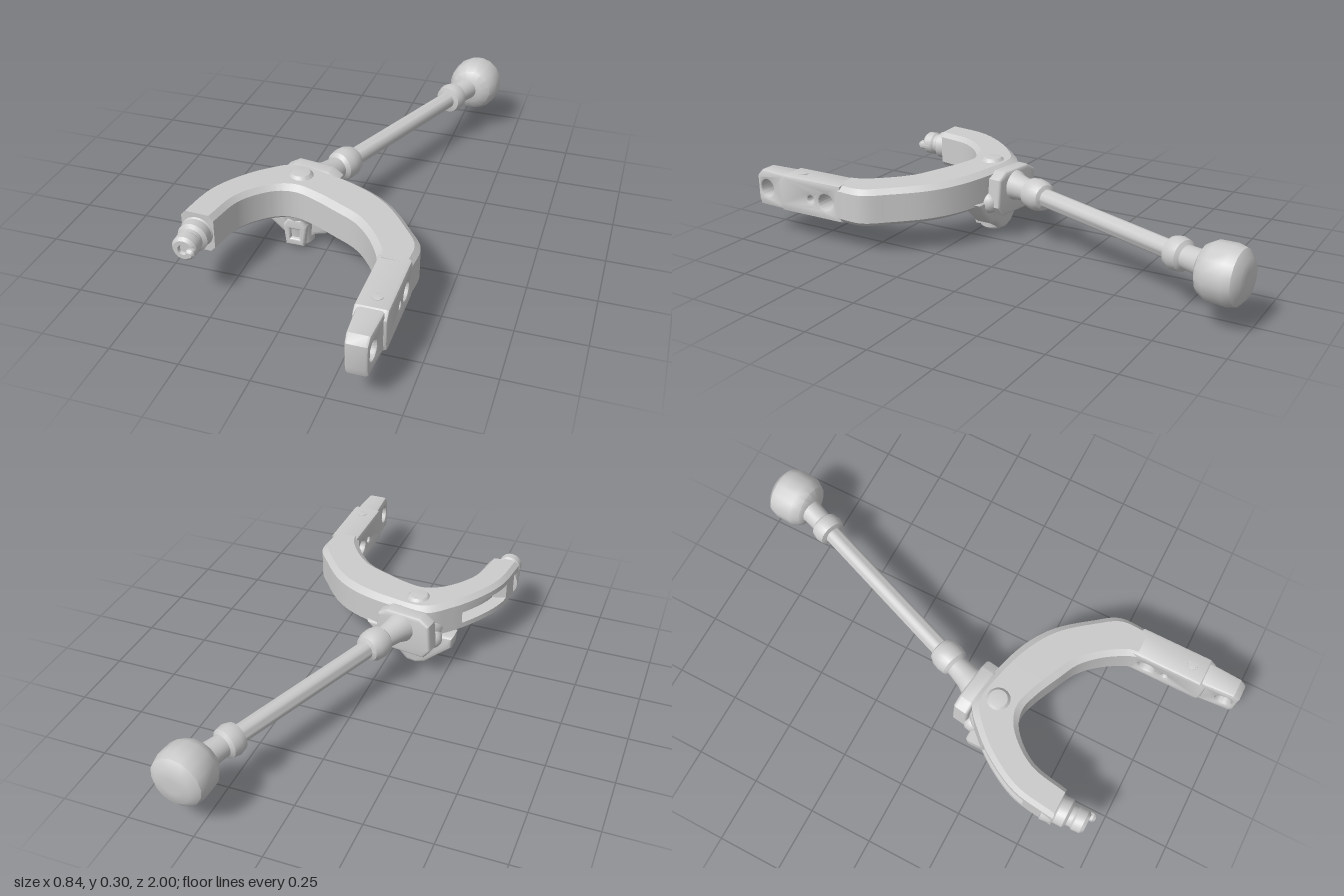
import * as THREE from 'three';
import { toCreasedNormals } from 'three/addons/utils/BufferGeometryUtils.js';

const material = new THREE.MeshStandardMaterial({ color: 0xcccccc });
const V = (x, y, z) => new THREE.Vector3(x, y, z);

function add(parent, name, geometry) {
  const flat = geometry.index ? geometry.toNonIndexed() : geometry;
  const mesh = new THREE.Mesh(toCreasedNormals(flat, 0.6), material);
  mesh.name = name;
  parent.add(mesh);
  return mesh;
}

// Turned part: profile of [radius, distance] pairs along an axis
function turned(parent, name, profile, origin, axis, sides = 24) {
  const points = profile.map(([r, s]) => new THREE.Vector2(r, s));
  const mesh = add(parent, name, new THREE.LatheGeometry(points, sides));
  mesh.position.copy(origin);
  mesh.quaternion.setFromUnitVectors(V(0, 1, 0), axis.clone().normalize());
  return mesh;
}

// Curved fork body: rounded box section swept between an outer and an inner curve
function forkGeometry() {
  const curve = pts => new THREE.CatmullRomCurve3(pts.map(([x, z]) => V(x, 0, z)), false, 'centripetal');
  const outer = curve([[-0.415, 0.58], [-0.39, 0.42], [-0.33, 0.3], [-0.25, 0.2], [-0.16, 0.13],
    [0, 0.15], [0.15, 0.2], [0.25, 0.265], [0.35, 0.38], [0.41, 0.47], [0.41, 0.59]]);
  const inner = curve([[-0.295, 0.58], [-0.265, 0.44], [-0.21, 0.36], [-0.15, 0.315], [-0.09, 0.305],
    [-0.02, 0.325], [0.07, 0.365], [0.16, 0.41], [0.23, 0.48], [0.28, 0.56], [0.292, 0.59]]);
  const steps = 80, half = 0.073, pos = [], index = [];
  for (let i = 0; i <= steps; i++) {
    const a = outer.getPoint(i / steps), b = inner.getPoint(i / steps);
    // Long pocket in the outer face of the short arm
    const pocket = a.x < -0.2 && a.z > 0.24 && a.z < 0.44 ? 0.4 : 0;
    const section = [[0, -0.75], [0, -0.45], [pocket, -0.4], [pocket, 0.4], [0, 0.45], [0, 0.75],
      [0.14, 1], [0.86, 1], [1, 0.75], [1, -0.75], [0.86, -1], [0.14, -1]];
    for (const [u, v] of section) {
      const p = a.clone().lerp(b, u);
      pos.push(p.x, 0.209 - 0.045 * p.x + half * v, p.z);
    }
  }
  const n = 12;
  for (let i = 0; i < steps; i++) for (let j = 0; j < n; j++) {
    const a = i * n + j, b = i * n + (j + 1) % n;
    index.push(a, b, a + n, b, b + n, a + n);
  }
  for (let j = 1; j < n - 1; j++) {
    index.push(0, j + 1, j, steps * n, steps * n + j, steps * n + j + 1);
  }
  const g = new THREE.BufferGeometry();
  g.setAttribute('position', new THREE.Float32BufferAttribute(pos, 3));
  g.setIndex(index);
  return g;
}

// Straight bar along z with cross holes of [z, y, radiusZ, radiusY]
function holedBar(z0, z1, x0, x1, y0, y1, holes, taper = 0) {
  const shape = new THREE.Shape(), c = 0.018, b = 0.012;
  shape.moveTo(z0, y0 + b).lineTo(z1 - c, y0 + b);
  shape.lineTo(z1 - b, y0 + b + c).lineTo(z1 - b, y1 - b - c);
  shape.lineTo(z1 - c - b, y1 - b).lineTo(z0, y1 - b);
  for (const [z, y, rz, ry] of holes) {
    shape.holes.push(new THREE.Path().absellipse(z, y, rz + b, ry + b, 0, Math.PI * 2, true));
  }
  const g = new THREE.ExtrudeGeometry(shape, {
    depth: x1 - x0 - 2 * b, bevelEnabled: true, bevelThickness: b, bevelSize: b, bevelSegments: 2, curveSegments: 20,
  });
  g.rotateY(-Math.PI / 2).translate(x1 - b, 0, 0);
  const p = g.attributes.position, mid = (x0 + x1) / 2;
  for (let i = 0; i < p.count; i++) {
    const t = Math.max(0, (p.getZ(i) - z0) / (z1 - z0));
    p.setX(i, mid + (p.getX(i) - mid) * (1 - taper * t));
  }
  return g;
}

function prism(points, depth, bevel, holes = []) {
  const shape = new THREE.Shape(points.map(([x, y]) => new THREE.Vector2(x, y)));
  for (const h of holes) shape.holes.push(new THREE.Path(h.map(([x, y]) => new THREE.Vector2(x, y))));
  return new THREE.ExtrudeGeometry(shape, {
    depth, bevelEnabled: true, bevelThickness: bevel, bevelSize: bevel, bevelOffset: -bevel, bevelSegments: 3,
  });
}

export function createModel() {
  const model = new THREE.Group();
  model.name = 'forkedLever';

  add(model, 'forkBody', forkGeometry());

  // Long arm with cross holes and a narrower end
  add(model, 'longArm', holedBar(0.58, 0.87, 0.293, 0.41, 0.117, 0.265,
    [[0.64, 0.188, 0.034, 0.03], [0.715, 0.188, 0.013, 0.013]]));
  add(model, 'longArmEnd', holedBar(0.86, 1, 0.302, 0.398, 0.115, 0.261, [[0.95, 0.188, 0.032, 0.034]], 0.2));
  turned(model, 'longArmPin', [[0, -0.01], [0.02, -0.01], [0.02, 0.005], [0, 0.008]],
    V(0.355, 0.262, 0.79), V(0, 1, 0), 12);

  // Stepped end of the short arm
  turned(model, 'shortArmTip', [[0, -0.04], [0.066, -0.03], [0.063, 0.01], [0.055, 0.02], [0.056, 0.055],
    [0.042, 0.065], [0.041, 0.08], [0.047, 0.088], [0.046, 0.12], [0.036, 0.132], [0.02, 0.132],
    [0.016, 0.12], [0, 0.12]], V(-0.358, 0.222, 0.565), V(0, 0, 1));
  turned(model, 'shortArmNub', [[0, -0.04], [0.018, -0.04], [0.018, 0.012], [0.01, 0.022], [0, 0.024]],
    V(-0.328, 0.218, 0.695), V(0, 0, 1), 12);

  // Rod with two collars
  const rodAxis = V(0.26, -0.008, -0.68);
  turned(model, 'rod', [[0, -0.24], [0.06, -0.22], [0.06, -0.15], [0.05, -0.12], [0.043, -0.055], [0.057, -0.042],
    [0.062, -0.015], [0.06, 0.015], [0.05, 0.038], [0.035, 0.045], [0.034, 0.69], [0.054, 0.695], [0.061, 0.72],
    [0.056, 0.75], [0.042, 0.76], [0.045, 0.82], [0.05, 0.86], [0, 0.89]], V(-0.02, 0.208, -0.05), rodAxis);
  turned(model, 'knob', [[0, -0.09], [0.05, -0.088], [0.085, -0.07], [0.104, -0.035], [0.106, 0.03],
    [0.098, 0.06], [0.07, 0.081], [0.03, 0.084], [0, 0.084]], V(0.305, 0.194, -0.91), V(0.09, 0, -1), 16);

  // Hub where rod and fork meet
  const hub = new THREE.Group();
  hub.name = 'hub';
  model.add(hub);
  const flange = add(hub, 'hubFlange', prism([[-0.12, 0.14], [-0.09, 0.1], [0.09, 0.1], [0.12, 0.14],
    [0.11, 0.25], [0.07, 0.275], [-0.07, 0.275], [-0.11, 0.25]], 0.04, 0.012));
  flange.position.set(-0.09, 0, 0.095);
  flange.rotation.y = -0.14;
  add(hub, 'hubCore', new THREE.SphereGeometry(1, 24, 16).scale(0.13, 0.085, 0.095).translate(-0.1, 0.19, 0.2));
  turned(hub, 'topBoss', [[0.06, -0.04], [0.05, 0], [0.035, 0.015], [0, 0.019]],
    V(-0.11, 0.282, 0.21), V(0, 1, 0), 16);

  // Lower bracket with winged web, foot and framed socket
  add(hub, 'bracketWeb', prism([[-0.27, 0.16], [-0.265, 0.11], [-0.2, 0.055], [-0.16, 0.018], [-0.12, 0.005],
    [-0.08, 0.012], [-0.05, 0.045], [-0.01, 0.055], [0.05, 0.11], [0.09, 0.16]], 0.05, 0.015).translate(0, 0, 0.17));
  turned(hub, 'bracketFoot', [[0, 0], [0.035, 0], [0.052, 0.012], [0.055, 0.05], [0.06, 0.1], [0.08, 0.16]],
    V(-0.115, 0, 0.212), V(0, 1, 0), 20);
  add(hub, 'bracketSocket', prism([[-0.15, 0.015], [-0.08, 0.015], [-0.07, 0.1], [-0.09, 0.13], [-0.14, 0.13],
    [-0.16, 0.1]], 0.035, 0.008, [[[-0.132, 0.045], [-0.132, 0.085], [-0.098, 0.085], [-0.098, 0.045]]])
    .translate(0, 0, 0.237));

  // Small lugs around the rod root
  for (const [x, y, z, r] of [[-0.19, 0.15, 0.15, 0.04], [0.0, 0.15, 0.16, 0.045], [-0.1, 0.13, 0.13, 0.045]]) {
    add(hub, 'hubLug', new THREE.SphereGeometry(r, 14, 10).translate(x, y, z));
  }
  return model;
}
